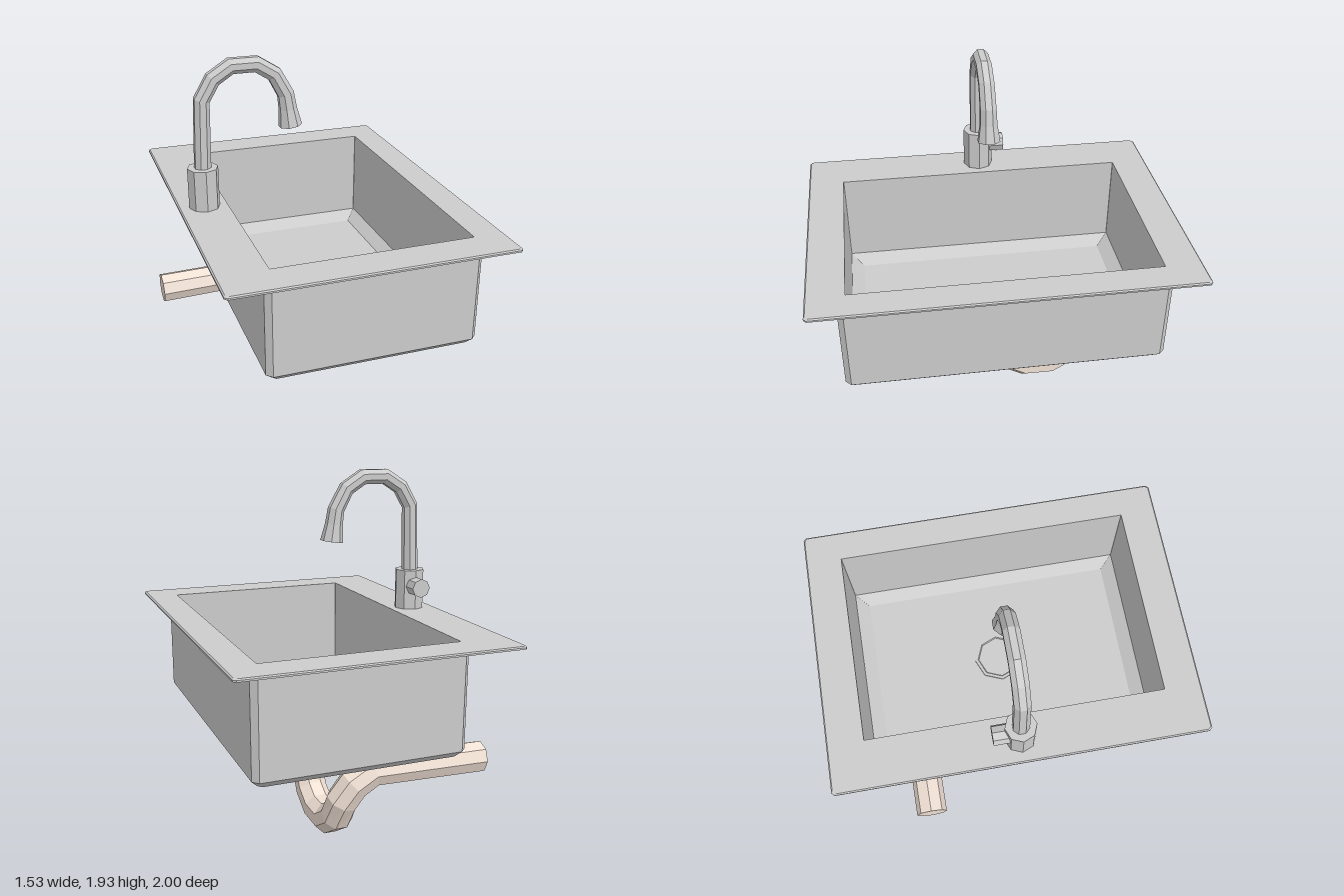
import * as THREE from 'three';

const V = (x, y, z) => new THREE.Vector3(x, y, z);
const metal = new THREE.MeshStandardMaterial({ color: 0xcccccc, flatShading: true });
const plastic = new THREE.MeshStandardMaterial({ color: 0xf0e0d4, flatShading: true });

// Closed skin over a list of equal-length rings, capped at both ends
function loft(rings) {
  const pos = [];
  const tri = (...pts) => pts.forEach((p) => pos.push(p.x, p.y, p.z));
  const n = rings[0].length;
  const cap = (ring, flip) => {
    const mid = ring.reduce((s, p) => s.add(p), V(0, 0, 0)).divideScalar(n);
    ring.forEach((p, j) => {
      const q = ring[(j + 1) % n];
      flip ? tri(mid, q, p) : tri(mid, p, q);
    });
  };
  cap(rings[0], true);
  for (let i = 0; i < rings.length - 1; i++) {
    for (let j = 0; j < n; j++) {
      const k = (j + 1) % n;
      tri(rings[i][j], rings[i][k], rings[i + 1][k]);
      tri(rings[i][j], rings[i + 1][k], rings[i + 1][j]);
    }
  }
  cap(rings[rings.length - 1], false);
  const geo = new THREE.BufferGeometry();
  geo.setAttribute('position', new THREE.Float32BufferAttribute(pos, 3));
  geo.computeVertexNormals();
  return geo;
}

// Eight-sided tube through [x, y, z, radius] points, frame carried along the path
function sweep(path, sides = 8) {
  const pts = path.map((p) => V(p[0], p[1], p[2]));
  const last = pts.length - 1;
  const dir = (i) => pts[i + 1].clone().sub(pts[i]).normalize();
  let normal = V(0, 0, 1);
  return loft(pts.map((c, i) => {
    const t = i === 0 ? dir(0) : i === last ? dir(last - 1) : dir(i - 1).add(dir(i)).normalize();
    normal = normal.clone().addScaledVector(t, -normal.dot(t)).normalize();
    const side = t.clone().cross(normal);
    return Array.from({ length: sides }, (_, j) => {
      const a = ((j + 0.5) / sides) * Math.PI * 2;
      return c.clone()
        .addScaledVector(normal, path[i][3] * Math.cos(a))
        .addScaledVector(side, path[i][3] * Math.sin(a));
    });
  }));
}

// Horizontal rectangle with cut corners
function rectRing(y, x0, x1, z, c) {
  return [
    [x1 - c, z], [x1, z - c], [x1, c - z], [x1 - c, -z],
    [x0 + c, -z], [x0, c - z], [x0, z - c], [x0 + c, z],
  ].map(([x, zz]) => V(x, y, zz));
}

export function createModel() {
  const model = new THREE.Group();
  model.name = 'sink';
  const add = (name, geo, mat, x = 0, y = 0, z = 0) => {
    const mesh = new THREE.Mesh(geo, mat);
    mesh.name = name;
    mesh.position.set(x, y, z);
    model.add(mesh);
    return mesh;
  };

  // Basin: outer body upward, over the thin rim, then down to the inner floor
  add('basin', loft([
    rectRing(0.555, -0.46, 0.60, 0.82, 0.02),
    rectRing(0.59, -0.495, 0.635, 0.853, 0.03),
    rectRing(1.138, -0.495, 0.635, 0.853, 0.03),
    rectRing(1.138, -0.72, 0.76, 1, 0.015),
    rectRing(1.147, -0.72, 0.76, 1, 0.015),
    rectRing(1.153, -0.713, 0.753, 0.993, 0.015),
    rectRing(1.153, -0.46, 0.595, 0.803, 0.001),
    rectRing(0.64, -0.46, 0.595, 0.803, 0.001),
    rectRing(0.59, -0.39, 0.53, 0.73, 0.001),
  ]), metal);

  // Drain ring on the basin floor
  const ring = [[0.145, 0], [0.145, 0.008], [0.127, 0.008], [0.122, 0.001], [0, 0.001]];
  add('drainRing', new THREE.LatheGeometry(ring.map(([r, y]) => new THREE.Vector2(r, y)), 8),
    metal, 0.065, 0.59, 0);

  // Drain pipe: flared collar, U-bend, then an elbow out to the right
  const r = 0.088;
  add('drainPipe', sweep([
    [0.055, 0.56, -0.028, 0.116],
    [0.055, 0.50, -0.028, r],
    [0.055, 0.25, -0.032, r],
    [0.055, 0.155, -0.09, r],
    [0.055, 0.09, -0.20, r],
    [0.055, 0.088, -0.35, r],
    [0.055, 0.16, -0.465, r],
    [0.045, 0.265, -0.515, r],
    [-0.01, 0.36, -0.54, r],
    [-0.11, 0.42, -0.545, r],
    [-0.765, 0.403, -0.545, r],
  ]), plastic);

  // Tap base and its side knob
  add('tapBase', new THREE.CylinderGeometry(0.083, 0.083, 0.23, 8), metal, -0.583, 1.26, 0);
  add('tapKnob', new THREE.CylinderGeometry(0.053, 0.053, 0.1, 8), metal, -0.585, 1.285, -0.097)
    .rotation.x = Math.PI / 2;

  // Gooseneck spout with a flared outlet
  add('spout', sweep([
    [-0.583, 1.36, 0, 0.046],
    [-0.572, 1.735, 0, 0.044],
    [-0.51, 1.84, 0, 0.044],
    [-0.415, 1.90, 0, 0.044],
    [-0.28, 1.90, 0, 0.044],
    [-0.185, 1.84, 0, 0.044],
    [-0.125, 1.73, 0, 0.046],
    [-0.113, 1.65, 0, 0.049],
    [-0.10, 1.557, 0, 0.063],
  ]), metal);

  return model;
}
